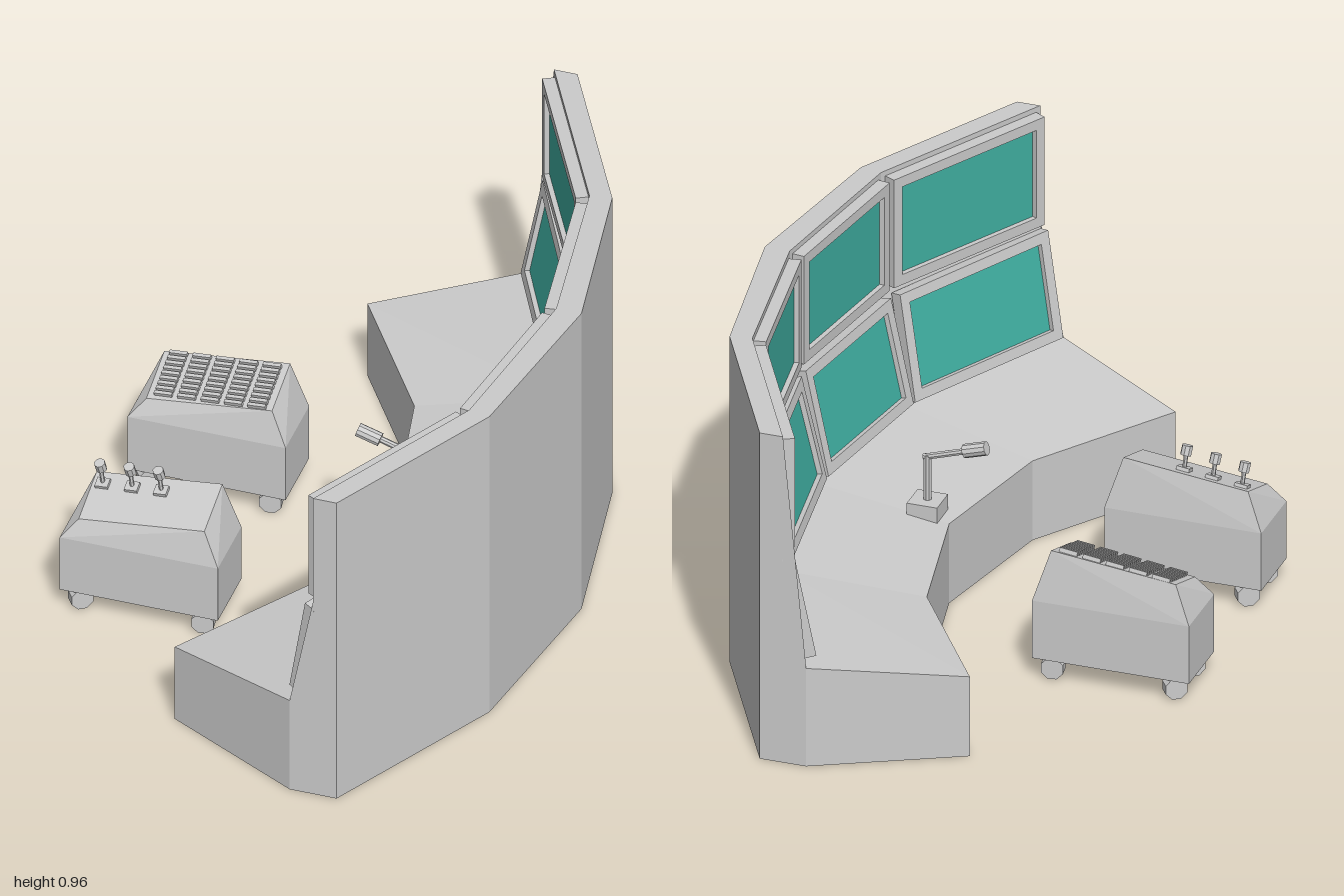
import * as THREE from 'three';
import { ConvexGeometry } from 'three/addons/geometries/ConvexGeometry.js';

const grey = new THREE.MeshStandardMaterial({ color: 0xcccccc, flatShading: true });
const teal = new THREE.MeshStandardMaterial({ color: 0x40b0a2, flatShading: true });
const V = (x, y, z) => new THREE.Vector3(x, y, z);

function add(parent, name, geometry, position = V(0, 0, 0), material = grey) {
  const mesh = new THREE.Mesh(geometry, material);
  mesh.name = name;
  mesh.position.copy(position);
  parent.add(mesh);
  return mesh;
}

// Cylinder running from a to b
function rod(parent, name, a, b, radius, sides) {
  const d = b.clone().sub(a);
  const mesh = add(parent, name, new THREE.CylinderGeometry(radius, radius, d.length(), sides),
    a.clone().add(b).multiplyScalar(0.5));
  mesh.quaternion.setFromUnitVectors(V(0, 1, 0), d.normalize());
  return mesh;
}

// Cross-sections of the curved console: [x, z] of desk edge, screen foot, wall front, wall back
const plan = [
  [[-0.21, 0.8], [0.175, 1], [0.24, 1], [0.305, 1]],
  [[0.05, 0.41], [0.43, 0.495], [0.505, 0.5], [0.565, 0.51]],
  [[0.135, 0], [0.505, 0], [0.58, 0], [0.65, 0]],
];
const DESK = 0.235, FOOT = 0.29, KINK = 0.615, TOP = 0.965;

function sectionRing([edge, foot, front, back], sign) {
  const p = ([x, z], y) => V(x, y, z * sign);
  return [p(edge, 0), p(edge, DESK), p(foot, FOOT), p(front, KINK),
    p(front, TOP), p(back, TOP), p(back, 0), p(foot, 0)];
}

const rings = [
  sectionRing(plan[0], -1), sectionRing(plan[1], -1), sectionRing(plan[2], 1),
  sectionRing(plan[1], 1), sectionRing(plan[0], 1),
];

function consoleGeometry() {
  const points = [];
  const quad = (a, b, c, d) => points.push(a, b, c, a, c, d);
  for (let i = 0; i < rings.length - 1; i++) {
    for (let k = 0; k < 8; k++) {
      const n = (k + 1) % 8;
      quad(rings[i][k], rings[i + 1][k], rings[i + 1][n], rings[i][n]);
    }
  }
  // End caps
  for (const [a, b, c, d] of [[0, 1, 2, 7], [7, 2, 5, 6], [2, 3, 4, 5]]) {
    const s = rings[0], e = rings[4];
    quad(s[a], s[b], s[c], s[d]);
    quad(e[d], e[c], e[b], e[a]);
  }
  const g = new THREE.BufferGeometry().setFromPoints(points);
  g.computeVertexNormals();
  return g;
}

function rectangle(Type, w, h) {
  const p = new Type();
  p.moveTo(-w / 2, -h / 2);
  p.lineTo(w / 2, -h / 2);
  p.lineTo(w / 2, h / 2);
  p.lineTo(-w / 2, h / 2);
  p.closePath();
  return p;
}

// Framed screen lying on the wall patch between two neighbouring sections
function screen(name, r0, r1, low, high) {
  const [a, b, c, d] = [r0[low], r1[low], r1[high], r0[high]];
  const u = b.clone().sub(a);
  const length = u.length();
  u.normalize();
  const up = d.clone().add(c).sub(a).sub(b).multiplyScalar(0.5);
  const height = up.length();
  const n = u.clone().cross(up).normalize();
  const v = n.clone().cross(u);
  const g = new THREE.Group();
  g.name = name;
  g.position.copy(a).add(b).add(c).add(d).multiplyScalar(0.25);
  g.quaternion.setFromRotationMatrix(new THREE.Matrix4().makeBasis(u, v, n));
  const w = length - 0.03, h = height - 0.03;
  const frame = rectangle(THREE.Shape, w, h);
  frame.holes.push(rectangle(THREE.Path, w - 0.06, h - 0.06));
  add(g, 'screenFrame', new THREE.ExtrudeGeometry(frame, { depth: 0.034, bevelEnabled: false }));
  add(g, 'screenPanel', new THREE.BoxGeometry(w - 0.06, h - 0.06, 0.02), V(0, 0, 0.01), teal);
  return g;
}

// Wheeled cart with a sloping top, centred on its own origin
function cart(name) {
  const g = new THREE.Group();
  g.name = name;
  const corners = [];
  for (const sx of [-1, 1]) {
    for (const sz of [-1, 1]) {
      corners.push(V(sx * 0.219, 0.06, sz * 0.098), V(sx * 0.219, 0.23, sz * 0.098),
        V(sx * 0.174, 0.33 + sx * 0.02 - sz * 0.025, sz * 0.075));
      const caster = new THREE.Group();
      caster.name = 'caster';
      caster.position.set(sx * 0.17, 0.031, sz * 0.07);
      caster.rotation.y = sx < 0 ? 0.6 : 0.15;
      add(caster, 'wheel', new THREE.CylinderGeometry(0.032, 0.032, 0.035, 8)
        .rotateY(Math.PI / 8).rotateX(Math.PI / 2));
      add(caster, 'casterStem', new THREE.CylinderGeometry(0.01, 0.01, 0.03, 6), V(0, 0.025, 0));
      g.add(caster);
    }
  }
  add(g, 'cartBody', new ConvexGeometry(corners));
  // Tilted plane for the controls
  const top = new THREE.Group();
  top.name = 'controls';
  top.position.y = 0.33;
  top.rotation.set(Math.atan(1 / 3), 0, Math.atan(0.115));
  g.add(top);
  return { g, top };
}

export function createModel() {
  const model = new THREE.Group();
  model.name = 'controlRoom';
  add(model, 'curvedConsole', consoleGeometry());

  // Two rows of four screens
  for (let i = 0; i < 4; i++) {
    model.add(screen('lowerScreen', rings[i], rings[i + 1], 2, 3));
    model.add(screen('upperScreen', rings[i], rings[i + 1], 3, 4));
  }

  // Desk microphone
  const mic = new THREE.Group();
  mic.name = 'microphone';
  add(mic, 'microphoneBase', new THREE.BoxGeometry(0.085, 0.05, 0.085), V(0.205, 0.26, 0.025));
  rod(mic, 'microphonePole', V(0.205, 0.26, 0.025), V(0.205, 0.415, 0.025), 0.011, 8);
  rod(mic, 'microphoneArm', V(0.215, 0.407, 0.025), V(0.09, 0.447, 0.025), 0.009, 8);
  rod(mic, 'microphoneHead', V(0.102, 0.443, 0.027), V(0.04, 0.462, 0.027), 0.019, 10);
  model.add(mic);

  // Cart with a keypad
  const keyCart = cart('keypadCart');
  keyCart.g.position.set(-0.433, 0, -0.23);
  for (let i = 0; i < 5; i++) {
    for (let j = 0; j < 9; j++) {
      add(keyCart.top, 'key', new THREE.BoxGeometry(0.05, 0.016, 0.01),
        V((i - 2) * 0.066, 0.003, (j - 4) * 0.0168));
    }
  }
  model.add(keyCart.g);

  // Cart with three levers
  const leverCart = cart('leverCart');
  leverCart.g.position.set(-0.433, 0, 0.332);
  for (const x of [-0.145, -0.062, 0.02]) {
    add(leverCart.top, 'leverBase', new THREE.BoxGeometry(0.036, 0.012, 0.03), V(x, 0.004, -0.035));
    rod(leverCart.top, 'leverStick', V(x, 0, -0.035), V(x, 0.052, -0.05), 0.006, 6);
    add(leverCart.top, 'leverKnob', new THREE.CylinderGeometry(0.015, 0.015, 0.027, 8), V(x, 0.058, -0.052));
  }
  model.add(leverCart.g);
  return model;
}
